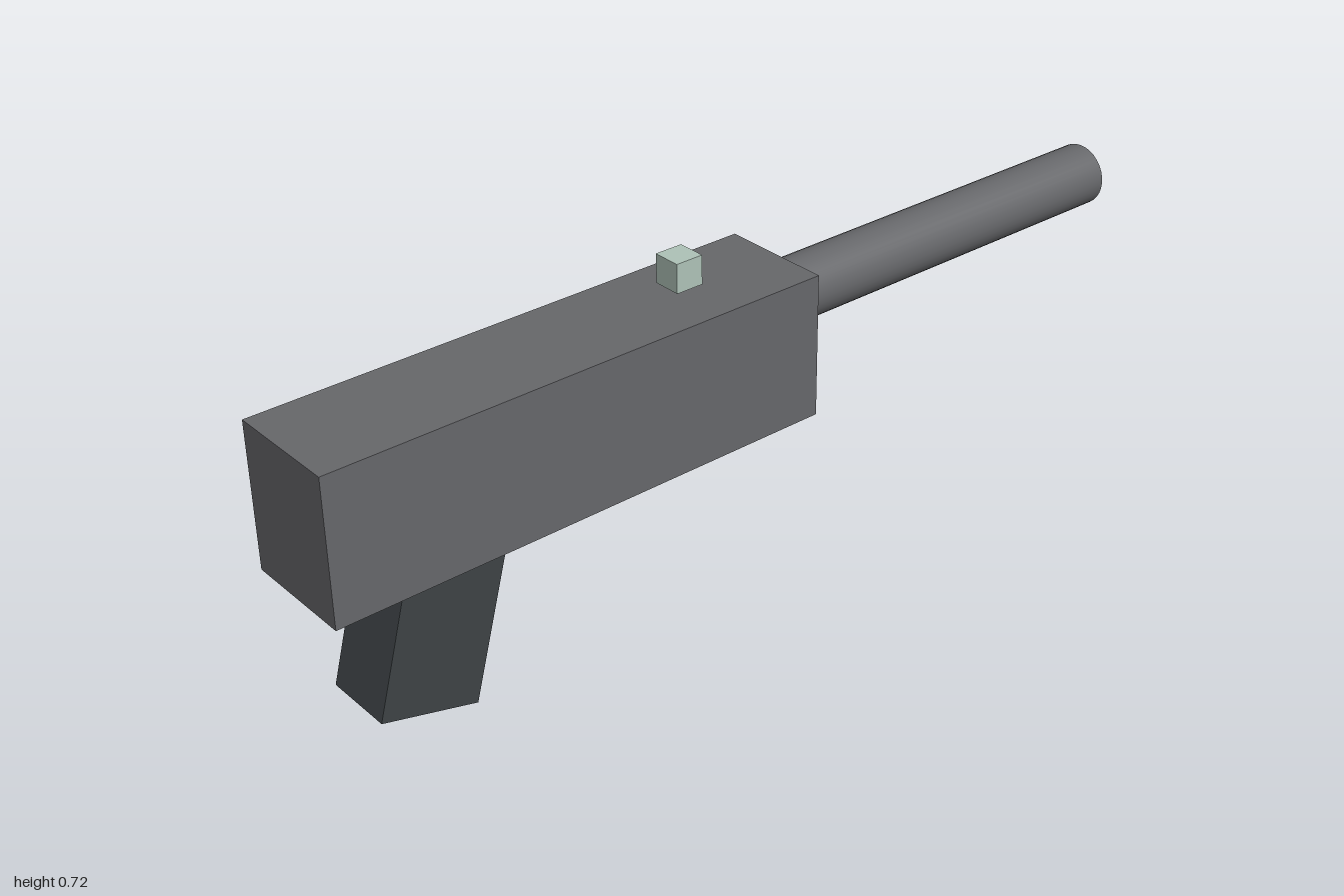
import * as THREE from 'three';

export function createModel() {
  const model = new THREE.Group();
  const gunmetal = new THREE.MeshStandardMaterial({ name: 'gunmetal grey', color: 0x66676a });
  const darkGrey = new THREE.MeshStandardMaterial({ name: 'dark grey', color: 0x3d4245 });
  const paleGreen = new THREE.MeshStandardMaterial({ name: 'pale green', color: 0xaec2b7 });

  function add(name, geometry, material, x, y, z) {
    const mesh = new THREE.Mesh(geometry, material);
    mesh.name = name;
    mesh.position.set(x, y, z);
    model.add(mesh);
    return mesh;
  }

  // Long box body
  add('body', new THREE.BoxGeometry(0.244, 0.306, 1.105), gunmetal, 0, 0.484, 0.4475);

  // Round barrel, set slightly into the body and reaching back to z = -1
  const barrel = add('barrel', new THREE.CylinderGeometry(0.067, 0.067, 0.92, 32), gunmetal, 0, 0.546, -0.54);
  barrel.rotation.x = Math.PI / 2;

  // Slanted grip, its top sunk into the body
  const tilt = 0.266, length = 0.367;
  const grip = add('grip', new THREE.BoxGeometry(0.153, length, 0.214), darkGrey, 0,
    0.0285 + Math.cos(tilt) * length / 2, 0.802 - Math.sin(tilt) * length / 2);
  grip.rotation.x = -tilt;

  // Small cube sight hovering just above the body
  add('sight', new THREE.BoxGeometry(0.061, 0.061, 0.061), paleGreen, 0, 0.685, 0.139);

  return model;
}
